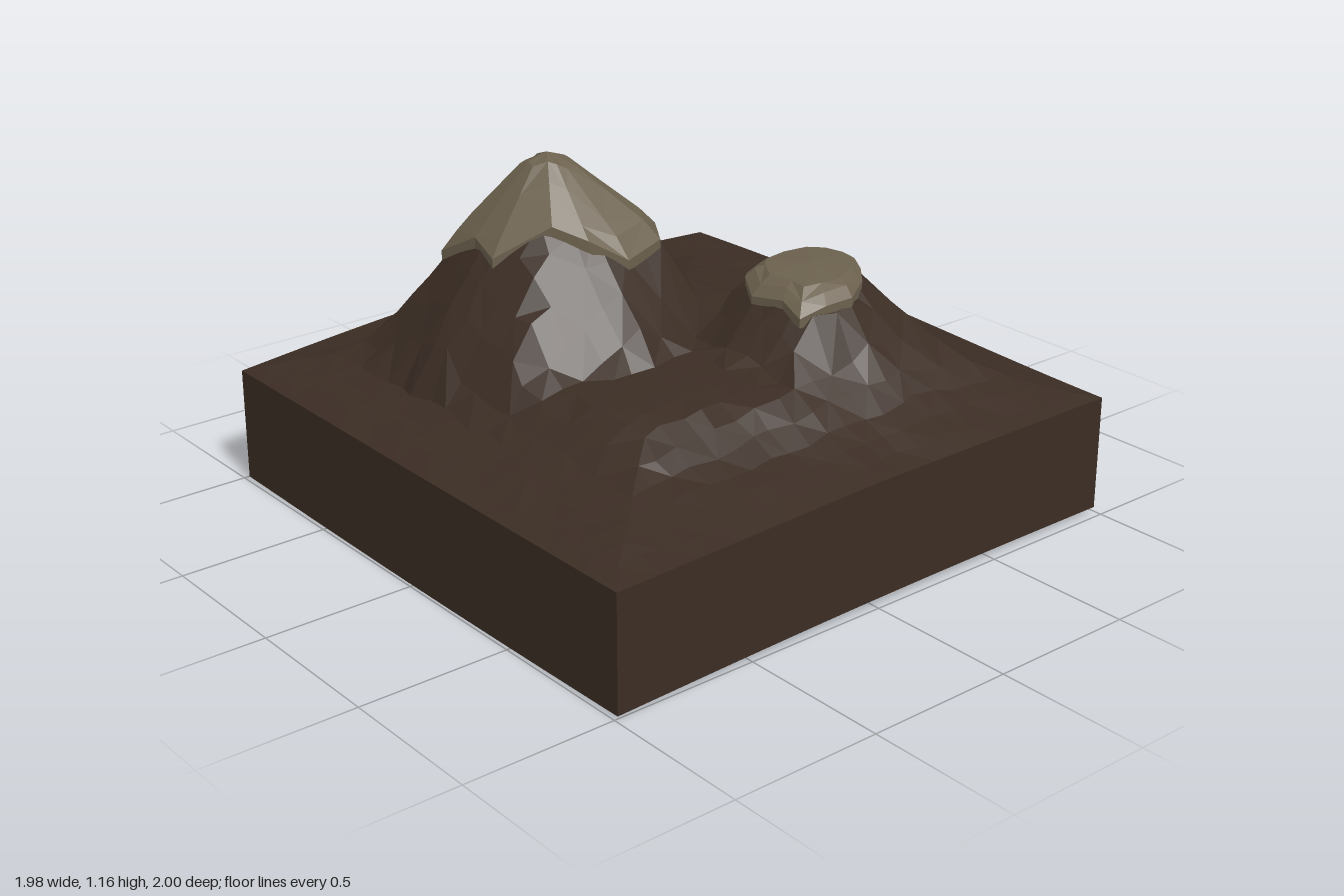
import * as THREE from 'three';

const rock = new THREE.MeshStandardMaterial({ color: 0x3b2d24, flatShading: true, side: THREE.DoubleSide });
const snow = new THREE.MeshStandardMaterial({ color: 0x6c614e, flatShading: true, side: THREE.DoubleSide });

// Repeatable noise in -0.5..0.5
const noise = (i, j) => {
  const s = Math.sin(i * 127.1 + j * 311.7) * 43758.5453;
  return s - Math.floor(s) - 0.5;
};

// Contours: [height, radii toward E, SE, S, SW, W, NW, N, NE], S being +z
const peak = {
  x: -0.25, z: -0.28,
  contours: [
    [1.13, [0, 0, 0, 0, 0, 0, 0, 0]],
    [1.11, [0.07, 0.07, 0.06, 0.06, 0.06, 0.07, 0.06, 0.07]],
    [0.9, [0.32, 0.37, 0.27, 0.26, 0.24, 0.28, 0.24, 0.31]],
    [0.73, [0.41, 0.47, 0.4, 0.39, 0.37, 0.41, 0.36, 0.43]],
    [0.58, [0.47, 0.55, 0.53, 0.51, 0.46, 0.55, 0.46, 0.57]],
    [0.4, [0.75, 0.8, 0.8, 0.64, 0.52, 0.72, 0.8, 0.85]],
  ],
};
const mesa = {
  x: 0.32, z: 0.33,
  contours: [
    [0.81, [0, 0, 0, 0, 0, 0, 0, 0]],
    [0.8, [0.18, 0.14, 0.17, 0.2, 0.17, 0.17, 0.16, 0.21]],
    [0.74, [0.23, 0.22, 0.23, 0.28, 0.23, 0.24, 0.23, 0.28]],
    [0.6, [0.36, 0.39, 0.31, 0.36, 0.36, 0.38, 0.33, 0.43]],
    [0.49, [0.49, 0.58, 0.45, 0.58, 0.6, 0.58, 0.5, 0.62]],
    [0.36, [0.85, 0.98, 0.8, 0.95, 0.9, 0.95, 0.9, 0.95]],
  ],
};
const plateau = {
  x: 0, z: 0,
  contours: [
    [0.6, [0.15, 0.2, 0.2, 0.2, 0.2, 0.2, 0.2, 0.2]],
    [0.575, [0.36, 0.44, 0.63, 0.7, 0.6, 0.74, 0.63, 0.53]],
    [0.47, [0.78, 1.02, 0.78, 0.93, 0.74, 1.04, 0.88, 1.02]],
  ],
};

// Radius on the straight chord between neighbouring contour corners
function radiusAt(radii, a) {
  const step = Math.PI / 4, t = (a / step + 8) % 8, i = Math.floor(t);
  const r0 = radii[i % 8], r1 = radii[(i + 1) % 8], u = (t - i) * step;
  return r0 && r0 * r1 * Math.sin(step) / (r0 * Math.sin(u) + r1 * Math.sin(step - u));
}

// Height of the block's upper rim: highest mid back, lowest along the left
const rim = (x, z) => 0.412
  + (x > 0 ? x * (0.01 + 0.018 * Math.cos(2 * z + 0.9)) : 0.025 * x)
  + (z < 0 ? -0.048 * z * Math.cos(x * 1.5) : 0);

function hillHeight(hill, x, z, outer) {
  const dx = x - hill.x, dz = z - hill.z, a = Math.atan2(dz, dx), r = Math.hypot(dx, dz);
  let h0 = hill.contours[0][0], r0 = 0;
  const rings = hill.contours.map(([h, radii]) => [h, radiusAt(radii, a)]);
  if (outer) rings.push(outer(a));
  for (const [h, r1] of rings) {
    if (r <= r1 && r1 > r0) return THREE.MathUtils.lerp(h0, h, (r - r0) / (r1 - r0));
    h0 = h;
    r0 = r1;
  }
  return outer || r === 0 ? h0 : 0;
}

function ground(x, z) {
  const base = hillHeight(plateau, x, z, (a) => {
    const R = 0.99 / Math.max(Math.abs(Math.cos(a)), Math.abs(Math.sin(a)));
    return [rim(R * Math.cos(a), R * Math.sin(a)), R];
  });
  return Math.max(base, hillHeight(peak, x, z), hillHeight(mesa, x, z));
}

// Sheet of quads from a function (column, row) -> [x, y, z]
function sheet(name, cols, rows, point, material) {
  const pos = [], index = [];
  for (let j = 0; j <= rows; j++) for (let i = 0; i <= cols; i++) pos.push(...point(i, j));
  for (let j = 0; j < rows; j++) {
    for (let i = 0; i < cols; i++) {
      const a = j * (cols + 1) + i, b = a + 1, c = a + cols + 1, d = c + 1;
      if ((i + j) % 2) index.push(a, c, b, b, c, d);
      else index.push(a, c, d, a, d, b);
    }
  }
  const g = new THREE.BufferGeometry();
  g.setAttribute('position', new THREE.Float32BufferAttribute(pos, 3));
  g.setIndex(index);
  g.computeVertexNormals();
  const mesh = new THREE.Mesh(g, material);
  mesh.name = name;
  return mesh;
}

// Jagged cap that follows the ground and turns down at its rim
function cap(name, hill, outline, lift, ragged) {
  const steps = [1, 1, 0.85, 0.7, 0.5, 0.25, 0];
  return sheet(name, outline.length, steps.length - 1, (i, j) => {
    const k = i % outline.length, t = steps[j], [ox, oz] = outline[k];
    const x = hill.x + (ox - hill.x) * t, z = hill.z + (oz - hill.z) * t;
    const drop = -0.005 - (k % 2) * ragged;
    return [x, t === 0 ? hill.contours[0][0] + lift : ground(x, z) + (j === 0 ? drop : lift), z];
  }, snow);
}

export function createModel() {
  const model = new THREE.Group();
  const N = 26, half = 0.99;
  const skew = (x, z) => z - 0.01 * x * (z > 0 ? 1.2 : 0.8); // front and back edges run slightly askew

  // Hollow block: terrain skin on top
  model.add(sheet('terrain', N, N, (i, j) => {
    const inside = i > 0 && j > 0 && i < N && j < N;
    const x = (i / N * 2 - 1) * half + (inside ? noise(i, j) * 0.025 : 0);
    const z = (j / N * 2 - 1) * half + (inside ? noise(j + 50, i) * 0.025 : 0);
    const y = ground(x, z);
    const rough = y > 0.7 ? 0 : noise(i + 9, j + 31) * 0.006;
    return [x, inside ? y + rough : rim(x, z), inside ? z : skew(x, z)];
  }, rock));

  // Four thin walls with an uneven lower edge, open underneath
  const walls = ['frontWall', 'leftWall', 'backWall', 'rightWall'];
  walls.forEach((name, k) => {
    const c = Math.round(Math.cos(k * Math.PI / 2)), s = Math.round(Math.sin(k * Math.PI / 2));
    model.add(sheet(name, N, 1, (i, j) => {
      const u = (i / N * 2 - 1) * half;
      const x = c * u + s * half, z = c * half - s * u;
      const low = 0.015 + 0.006 * x + 0.009 * x * Math.cos(z * 1.6) + 0.012 * Math.cos(x * 1.6);
      return [x, j ? low : rim(x, z), skew(x, z)];
    }, rock));
  });

  // Snow on the tall peak and on the flat-topped hill
  model.add(cap('peakSnow', peak, [
    [0.11, -0.4], [0.03, -0.53], [-0.1, -0.58], [-0.22, -0.52], [-0.28, -0.59], [-0.38, -0.55], [-0.51, -0.5],
    [-0.49, -0.34], [-0.51, -0.22], [-0.36, -0.11], [-0.28, -0.03], [-0.17, 0.03], [-0.02, 0], [0.04, -0.1],
    [0.04, -0.2], [0.05, -0.31],
  ], 0.033, 0));
  model.add(cap('hillSnow', mesa, [
    [0.51, 0.3], [0.53, 0.2], [0.47, 0.14], [0.35, 0.12], [0.22, 0.14], [0.16, 0.2], [0.1, 0.3],
    [0.12, 0.42], [0.11, 0.51], [0.2, 0.53], [0.3, 0.54], [0.4, 0.48], [0.45, 0.42], [0.48, 0.36],
  ], 0.025, 0.015));
  return model;
}
